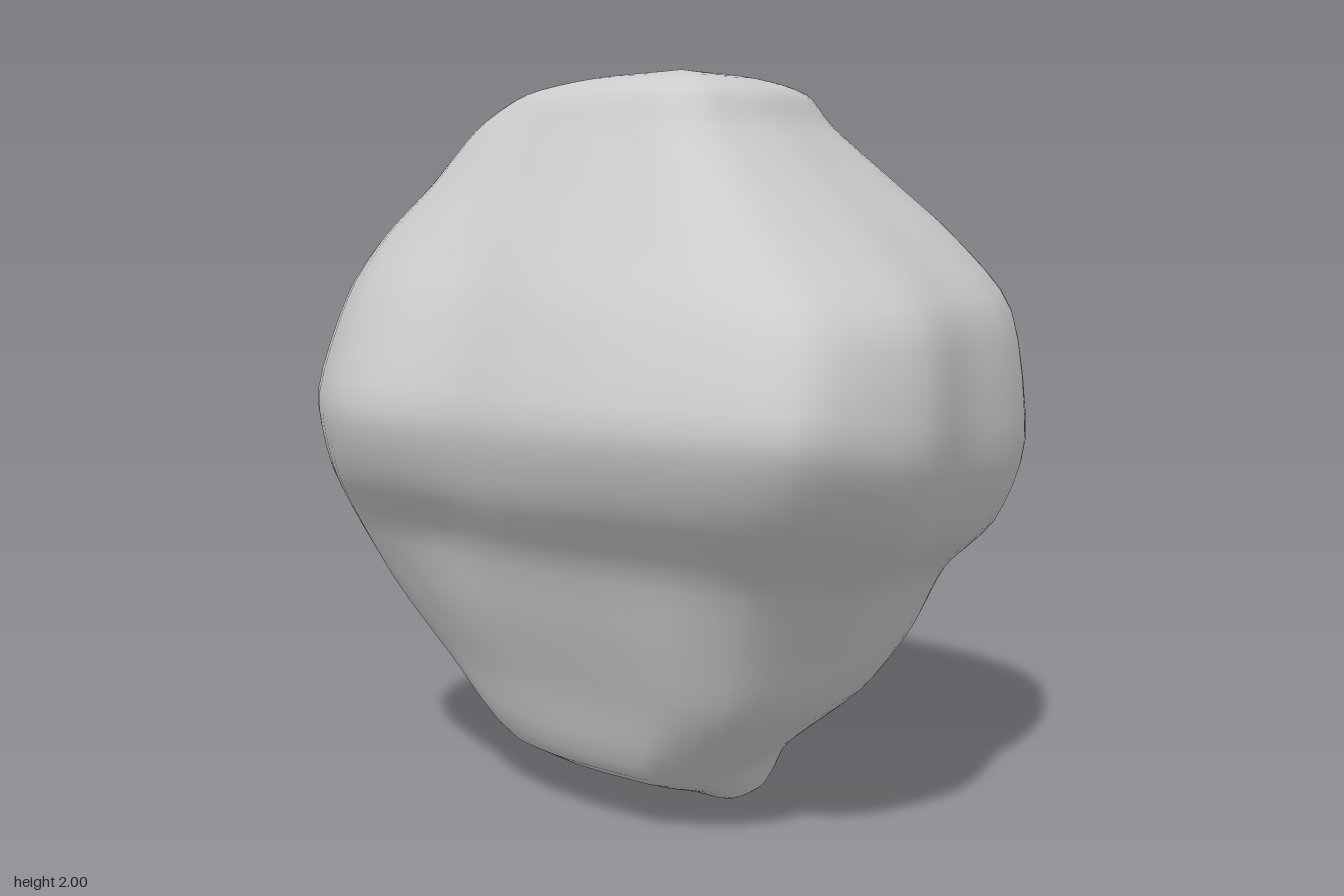
import * as THREE from 'three';
import { mergeVertices } from 'three/addons/utils/BufferGeometryUtils.js';

// Plan outlines (x, z), scaled to each level's extents; they run from +x towards +z
const BOXY = [1, -.1, .98, .12, 1, .64, .66, .8, .25, .88, -.2, 1, -.68, .96, -.84, .77, -.94, .45,
  -.95, .15, -.93, -.1, -1, -.36, -.94, -.58, -.7, -.86, -.3, -.97, .2, -1, .78, -.88, 1, -.62];
const ROUND = [1, -.1, .98, .25, .9, .62, .6, .84, .2, .94, -.2, 1, -.7, .96, -.92, .75, -.97, .45,
  -1, .15, -1, -.12, -.97, -.42, -.9, -.7, -.65, -.9, -.2, -.98, .2, -1, .7, -.84, .94, -.5];

// Levels from the bottom up: y, xMin, xMax, zMin, zMax, roundness
const LEVELS = [
  [0, .15, .15, .12, .12, 1],
  [.015, .06, .24, .02, .2, 1],
  [.06, -.05, .32, -.17, .23, 1],
  [.16, -.3, .41, -.42, .3, 1],
  [.38, -.39, .56, -.68, .52, 1],
  [.58, -.48, .72, -.87, .62, .8],
  [.78, -.57, .76, -1, .73, .4],
  [.94, -.7, .75, -.97, .9, .1],
  [1.14, -.76, .75, -.95, 1, 0],
  [1.4, -.65, .75, -.92, .94, .2],
  [1.56, -.54, .71, -.83, .74, .5],
  [1.7, -.44, .61, -.68, .57, .7],
  [1.85, -.34, .47, -.54, .41, .9],
  [1.94, -.28, .37, -.36, .35, 1],
  [1.98, -.19, .18, -.14, .27, 1],
  [2, -.08, -.08, .15, .15, 1],
];

const AROUND = 72, UP = 60;

// One closed, smoothed cross-section
function section([y, x0, x1, z0, z1, round]) {
  const pts = [];
  for (let k = 0; k < BOXY.length; k += 2) {
    const u = THREE.MathUtils.lerp(BOXY[k], ROUND[k], round);
    const v = THREE.MathUtils.lerp(BOXY[k + 1], ROUND[k + 1], round);
    const x = (x0 + x1) / 2 + u * (x1 - x0) / 2;
    const z = (z0 + z1) / 2 + v * (z1 - z0) / 2;
    // the brow across the front slopes down towards +x
    const drop = .25 * (x + .4) * Math.max(0, z) * Math.max(0, Math.sin(Math.PI * y / 1.5));
    pts.push(new THREE.Vector3(x, y - drop, z));
  }
  const curve = new THREE.CatmullRomCurve3(pts, true, 'catmullrom', .4);
  return Array.from({ length: AROUND }, (_, j) => curve.getPoint(j / AROUND));
}

function boulderGeometry() {
  const sections = LEVELS.map(section);
  const position = [], index = [];

  // Smooth columns through the sections
  for (let j = 0; j < AROUND; j++) {
    const column = new THREE.CatmullRomCurve3(sections.map((s) => s[j]), false, 'catmullrom', .4);
    for (let i = 0; i <= UP; i++) {
      const p = column.getPoint(i / UP);
      position.push(p.x, THREE.MathUtils.clamp(p.y, 0, 2), p.z);
    }
  }

  // Skin between neighbouring columns, closed at the poles
  for (let j = 0; j < AROUND; j++) {
    for (let i = 0; i < UP; i++) {
      const a = j * (UP + 1) + i, b = ((j + 1) % AROUND) * (UP + 1) + i;
      if (i < UP - 1) index.push(a, a + 1, b + 1);
      if (i > 0) index.push(a, b + 1, b);
    }
  }

  const geometry = new THREE.BufferGeometry();
  geometry.setAttribute('position', new THREE.Float32BufferAttribute(position, 3));
  geometry.setIndex(index);
  const welded = mergeVertices(geometry);
  welded.computeVertexNormals();
  return welded;
}

export function createModel() {
  const group = new THREE.Group();
  group.name = 'rock';
  const boulder = new THREE.Mesh(boulderGeometry(), new THREE.MeshStandardMaterial({ color: 0xcccccc }));
  boulder.name = 'boulder';
  group.add(boulder);
  return group;
}
